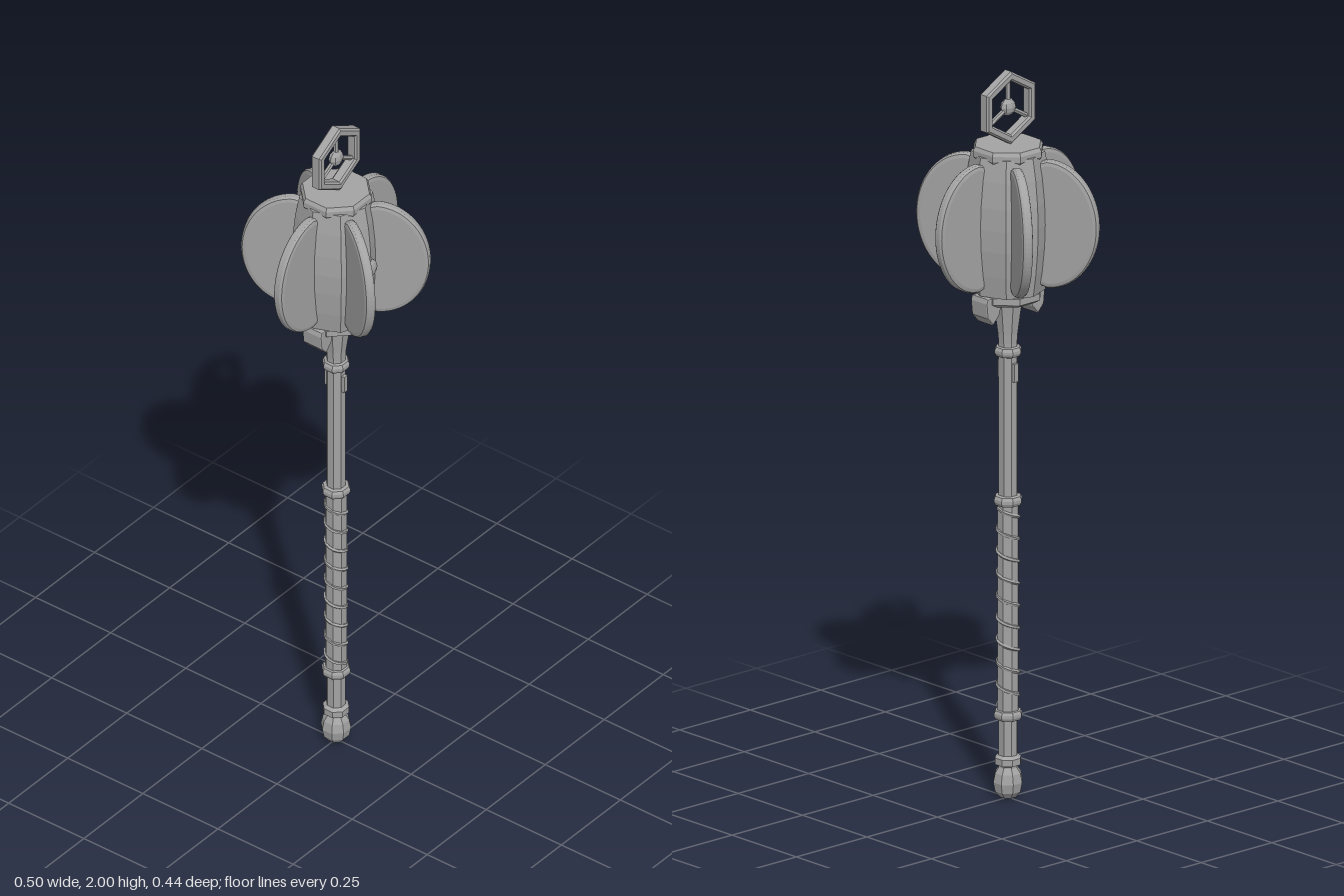
import * as THREE from 'three';

export function createModel() {
  const model = new THREE.Group();
  model.name = 'flangedMace';
  const steel = new THREE.MeshStandardMaterial({ color: 0xa3a3a3 });
  steel.name = 'steel';

  // Adds a faceted mesh
  function add(name, geometry, parent = model) {
    const g = geometry.index ? geometry.toNonIndexed() : geometry;
    g.computeVertexNormals();
    const mesh = new THREE.Mesh(g, steel);
    mesh.name = name;
    parent.add(mesh);
    return mesh;
  }
  // Eight-sided turned part; points run from bottom to top as [radius, y]
  function turned(name, points, turn = Math.PI / 8) {
    const g = new THREE.LatheGeometry(points.map(p => new THREE.Vector2(...p)), 8);
    return add(name, g.rotateY(turn));
  }
  function plate(shape, depth, bevel) {
    const g = new THREE.ExtrudeGeometry(shape, {
      depth, curveSegments: 20, bevelEnabled: bevel > 0,
      bevelThickness: bevel * 0.6, bevelSize: bevel, bevelOffset: -bevel, bevelSegments: 2,
    });
    return g.translate(0, 0, -depth / 2);
  }

  // Pommel
  turned('pommel', [[0, 0], [0.022, 0.003], [0.036, 0.02], [0.041, 0.045], [0.036, 0.07], [0.026, 0.085],
    [0.026, 0.09], [0.036, 0.094], [0.036, 0.112], [0.025, 0.12]]);

  // Shaft and its rings
  turned('shaft', [[0, 0.08], [0.026, 0.08], [0.026, 1.26], [0, 1.26]]);
  for (const [y, r] of [[0.23, 0.039], [0.82, 0.039], [1.23, 0.037]]) {
    turned('shaftRing', [[0.024, y - 0.015], [r - 0.004, y - 0.012], [r, y - 0.004], [r, y + 0.004],
      [r - 0.004, y + 0.012], [0.024, y + 0.015]]);
  }

  // Wrapped grip
  turned('grip', [[0.02, 0.235], [0.0295, 0.235], [0.0295, 0.815], [0.02, 0.815]]);
  const turns = 9, steps = turns * 8, wrap = [];
  for (let i = 0; i <= steps; i++) {
    const a = (i + 0.5) / 8 * Math.PI * 2;
    wrap.push(new THREE.Vector3(Math.cos(a) * 0.028, 0.25 + 0.55 * i / steps, Math.sin(a) * 0.028));
  }
  add('gripWrap', new THREE.TubeGeometry(new THREE.CatmullRomCurve3(wrap), steps * 2, 0.0055, 5));

  // Small studs below the upper ring
  for (const z of [-0.027, 0.027]) {
    add('shaftStud', new THREE.BoxGeometry(0.014, 0.05, 0.012)).position.set(0, 1.175, z);
  }

  // Flared neck
  turned('neck', [[0.025, 1.24], [0.028, 1.28], [0.035, 1.33], [0.044, 1.39]]);

  // Head body and collars
  turned('headBody', [[0, 1.39], [0.098, 1.4], [0.108, 1.46], [0.115, 1.53], [0.117, 1.59],
    [0.115, 1.65], [0.108, 1.72], [0.097, 1.78], [0, 1.785]], 0);
  turned('lowerCollar', [[0, 1.37], [0.075, 1.37], [0.092, 1.38], [0.092, 1.398], [0.08, 1.41]]);
  turned('upperCollar', [[0.09, 1.765], [0.097, 1.775], [0.097, 1.79], [0.091, 1.8], [0, 1.8]]);

  // Six rounded flanges
  const flangeShape = new THREE.Shape();
  flangeShape.absellipse(0.11, 0, 0.14, 0.175, -Math.PI / 2, Math.PI / 2, false);
  flangeShape.lineTo(0.05, 0.155);
  flangeShape.lineTo(0.05, -0.155);
  flangeShape.closePath();
  for (let i = 0; i < 6; i++) {
    const flange = add('flange', plate(flangeShape, 0.014, 0.013));
    flange.position.y = 1.59;
    flange.rotation.y = i * Math.PI / 3;
  }

  // Front rivet
  const rivet = add('frontRivet', new THREE.SphereGeometry(0.026, 10, 8));
  rivet.scale.z = 0.6;
  rivet.position.set(0, 1.59, 0.112);

  // Claws under the head, one on each side
  const clawShape = new THREE.Shape([[0.035, 1.385], [0.05, 1.372], [0.058, 1.345], [0.08, 1.322],
    [0.1, 1.345], [0.104, 1.385], [0.1, 1.398], [0.05, 1.398]].map(p => new THREE.Vector2(...p)));
  for (const turn of [0, Math.PI]) {
    add('claw', plate(clawShape, 0.056, 0.006)).rotation.y = turn;
  }

  // Hexagonal finial with three spokes and a hub
  const finial = new THREE.Group();
  finial.name = 'finial';
  finial.position.y = 1.9;
  model.add(finial);
  const hexagon = r => Array.from({ length: 6 }, (_, i) => {
    const a = (i + 0.5) * Math.PI / 3;
    return new THREE.Vector2(Math.cos(a) * r, Math.sin(a) * r);
  });
  const ring = new THREE.Shape(hexagon(0.1));
  ring.holes.push(new THREE.Path(hexagon(0.074).reverse()));
  const ringGeometry = new THREE.ExtrudeGeometry(ring, {
    depth: 0.022, bevelThickness: 0.005, bevelSize: 0.005, bevelOffset: -0.005, bevelSegments: 1,
  });
  add('finialRing', ringGeometry.translate(0, 0, -0.011), finial);
  for (let i = 0; i < 3; i++) {
    const spoke = new THREE.CylinderGeometry(0.007, 0.007, 0.08, 6).translate(0, 0.04, 0);
    add('finialSpoke', spoke, finial).rotation.z = i * Math.PI * 2 / 3;
  }
  const hub = add('finialHub', new THREE.SphereGeometry(0.024, 8, 6), finial);
  hub.scale.z = 0.7;

  return model;
}
